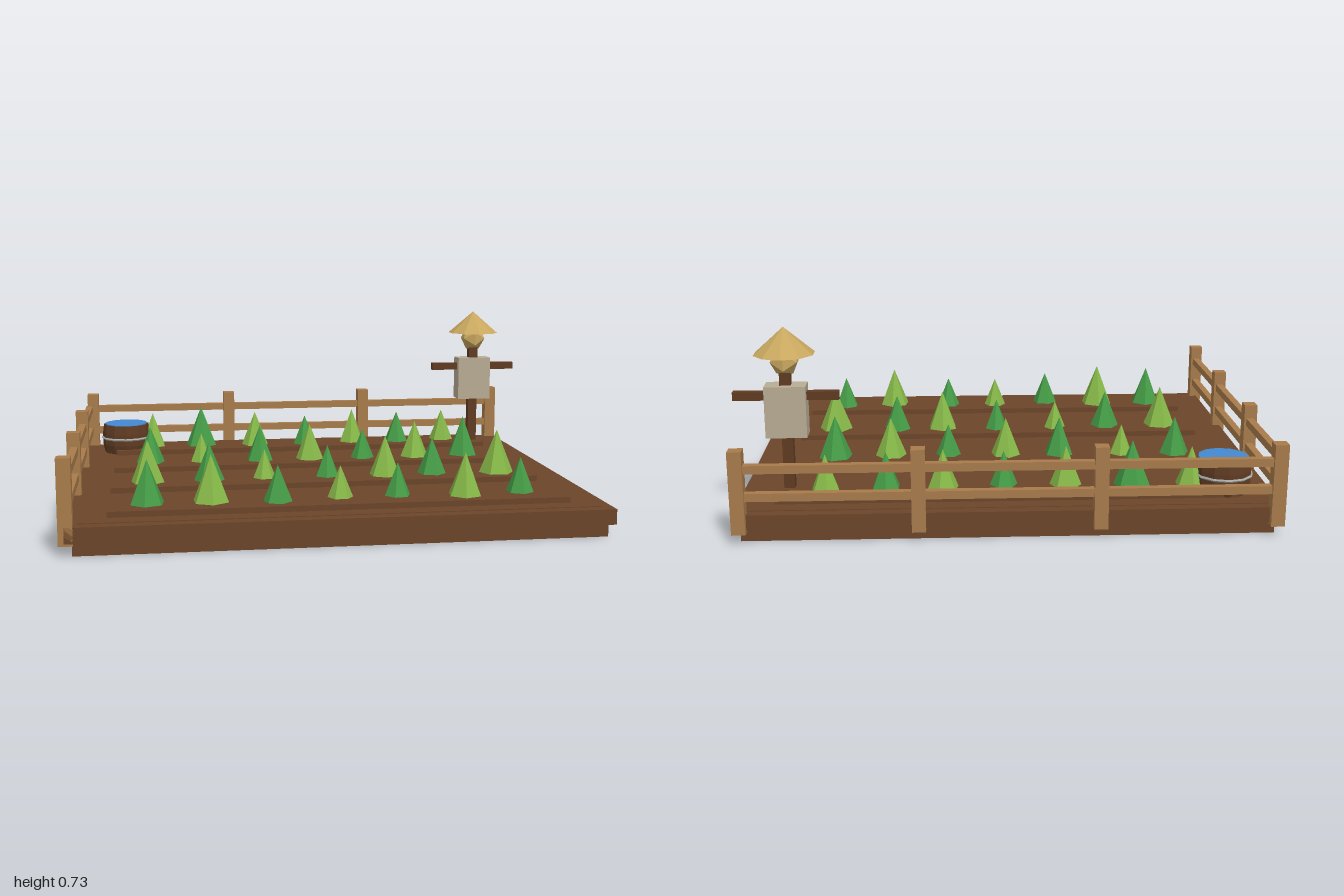
import * as THREE from 'three';

const mat = (name, color) => {
  const m = new THREE.MeshStandardMaterial({ color });
  m.name = name;
  m.flatShading = true;
  return m;
};

export function createModel() {
  const soil = mat('soil brown', 0x6b4529);
  const fenceWood = mat('fence wood', 0xa87b4b);
  const darkWood = mat('dark wood', 0x5f3b22);
  const steel = mat('hoop grey', 0xa8a8a4);
  const water = mat('water blue', 0x4488d0);
  const lightLeaf = mat('light leaf green', 0x86b848);
  const darkLeaf = mat('dark leaf green', 0x459c47);
  const cloth = mat('sack cloth', 0xb8ac94);
  const straw = mat('straw', 0xc8a75f);

  const model = new THREE.Group();
  model.name = 'vegetableGarden';

  const add = (parent, name, geometry, material, x, y, z) => {
    const mesh = new THREE.Mesh(geometry, material);
    mesh.name = name;
    mesh.position.set(x, y, z);
    parent.add(mesh);
    return mesh;
  };
  // Box given by its limits on each axis
  const box = (parent, name, material, x0, x1, y0, y1, z0, z1) =>
    add(parent, name, new THREE.BoxGeometry(x1 - x0, y1 - y0, z1 - z0), material,
      (x0 + x1) / 2, (y0 + y1) / 2, (z0 + z1) / 2);
  const group = (name) => {
    const g = new THREE.Group();
    g.name = name;
    model.add(g);
    return g;
  };

  // Ground: narrow footing, wide slab, thin soil layer
  const ground = group('ground');
  box(ground, 'footing', soil, -0.955, 0.957, 0, 0.05, -0.757, 0.776);
  box(ground, 'slab', soil, -0.98, 0.98, 0.048, 0.105, -0.78, 0.795);
  box(ground, 'soilLayer', soil, -0.938, 0.936, 0.1, 0.108, -0.74, 0.75);

  // Planting beds
  const bedZ = [-0.577, -0.19, 0.195, 0.578];
  bedZ.forEach((z) => box(ground, 'plantingBed', soil, -0.84, 0.845, 0.1, 0.129, z - 0.104, z + 0.104));

  // Crops: [x, z, radius] for each row, the two greens alternating
  const rows = [
    [[-0.68, -0.59, 0.06], [-0.46, -0.585, 0.07], [-0.215, -0.565, 0.06], [0.015, -0.555, 0.052],
      [0.24, -0.585, 0.06], [0.45, -0.57, 0.055], [0.67, -0.59, 0.055]],
    [[-0.69, -0.2, 0.06], [-0.475, -0.197, 0.048], [-0.225, -0.19, 0.06], [-0.01, -0.19, 0.06],
      [0.22, -0.185, 0.05], [0.45, -0.185, 0.062], [0.67, -0.197, 0.067]],
    [[-0.7, 0.2, 0.067], [-0.46, 0.2, 0.06], [-0.24, 0.178, 0.046], [0.013, 0.178, 0.05],
      [0.245, 0.192, 0.064], [0.44, 0.183, 0.058], [0.705, 0.2, 0.07]],
    [[-0.7, 0.57, 0.065], [-0.47, 0.565, 0.07], [-0.23, 0.595, 0.054], [0.005, 0.56, 0.048],
      [0.22, 0.56, 0.05], [0.47, 0.588, 0.065], [0.69, 0.56, 0.053]],
  ];
  const crops = group('crops');
  const cropShape = new THREE.ConeGeometry(1, 2.5, 6);
  rows.forEach((row, r) => row.forEach(([x, z, radius], c) => {
    const crop = add(crops, 'crop', cropShape, (r + c) % 2 ? darkLeaf : lightLeaf,
      x, 0.128 + radius * 1.25, z);
    crop.scale.setScalar(radius);
    crop.rotation.y = r * 1.7 + c * 2.3;
  }));

  // Fence along the back and the right-hand side
  const fence = group('fence');
  const post = (x, z) => box(fence, 'fencePost', fenceWood,
    x - 0.025, x + 0.025, 0.04, 0.345, z - 0.025, z + 0.025);
  [-0.955, -0.321, 0.325, 0.957].forEach((x) => post(x, -0.778));
  [-0.262, 0.272, 0.77].forEach((z) => post(-0.975, z));
  [0.175, 0.277].forEach((y) => {
    box(fence, 'backRail', fenceWood, -0.955, 0.957, y - 0.015, y + 0.015, -0.793, -0.765);
    box(fence, 'sideRail', fenceWood, -0.986, -0.958, y - 0.015, y + 0.015, -0.778, 0.77);
  });

  // Water barrel with bulging staves and a hoop
  const barrel = group('waterBarrel');
  barrel.position.set(-0.8, 0.106, -0.587);
  const profile = [[0, 0], [0.096, 0], [0.105, 0.04], [0.105, 0.09], [0.1, 0.129], [0.094, 0.129], [0, 0.128]];
  add(barrel, 'barrelBody',
    new THREE.LatheGeometry(profile.map(([x, y]) => new THREE.Vector2(x, y)), 12), darkWood, 0, 0, 0);
  add(barrel, 'barrelHoop', new THREE.TorusGeometry(0.105, 0.006, 5, 12), steel, 0, 0.068, 0)
    .rotation.x = Math.PI / 2;
  add(barrel, 'waterSurface', new THREE.CylinderGeometry(0.095, 0.095, 0.006, 12), water, 0, 0.129, 0);

  // Scarecrow
  const scarecrow = group('scarecrow');
  scarecrow.position.set(0.805, 0, -0.547);
  box(scarecrow, 'pole', darkWood, -0.02, 0.02, 0.105, 0.59, -0.018, 0.018);
  box(scarecrow, 'arms', darkWood, -0.192, 0.192, 0.463, 0.494, -0.015, 0.015);
  box(scarecrow, 'sackBody', cloth, -0.075, 0.075, 0.328, 0.519, -0.041, 0.041);
  add(scarecrow, 'head', new THREE.IcosahedronGeometry(0.057, 0), straw, 0, 0.608, 0);
  add(scarecrow, 'strawHat', new THREE.ConeGeometry(0.112, 0.098, 10), straw, 0, 0.683, 0);

  return model;
}
